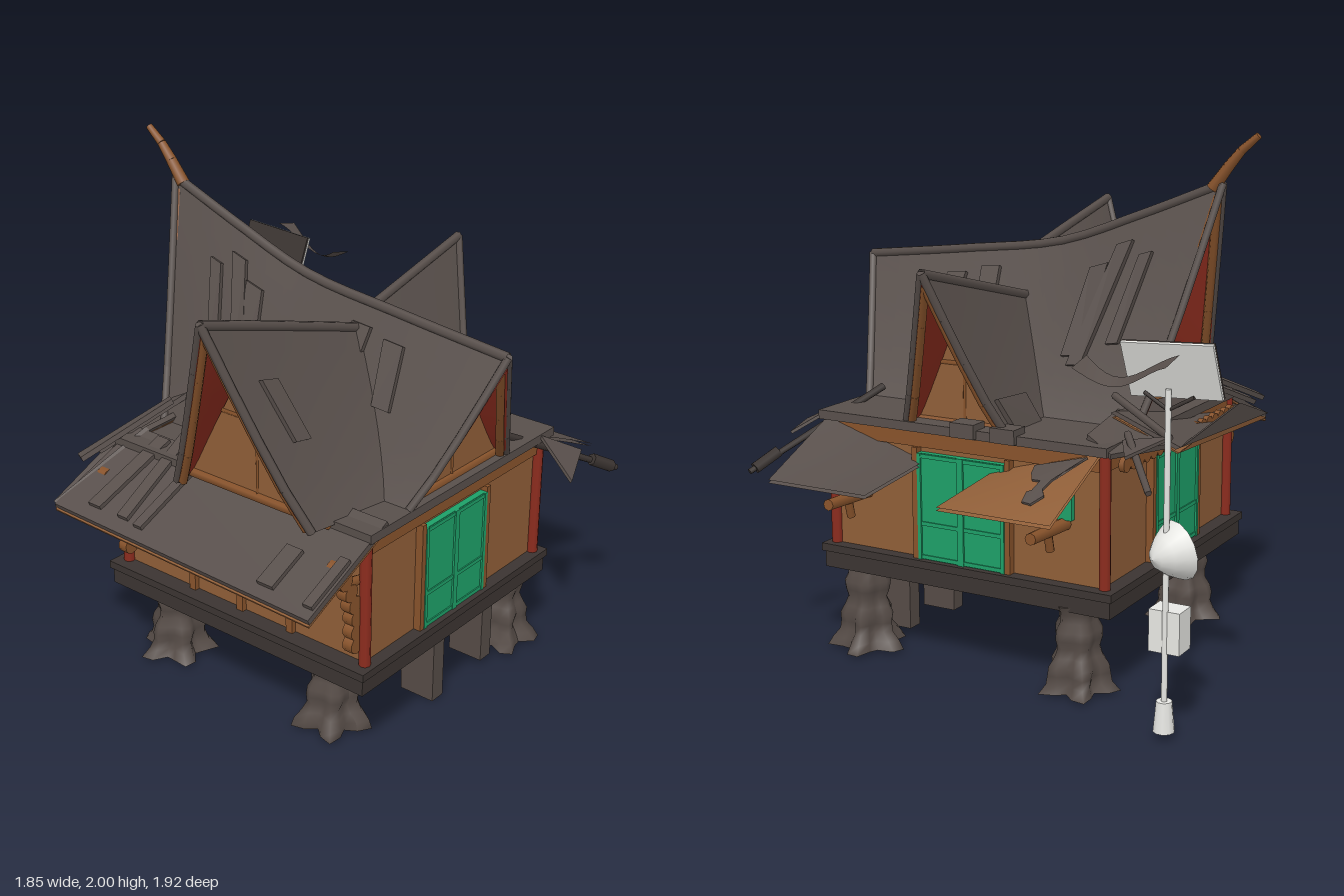
import * as THREE from 'three';

const paint = (name, color) => {
  const m = new THREE.MeshStandardMaterial({ color, side: THREE.DoubleSide });
  m.name = name;
  return m;
};

export function createModel() {
  const root = new THREE.Group();
  const roofGrey = paint('roof grey', 0x584f4b), stump = paint('stump grey', 0x554b46);
  const dark = paint('dark timber', 0x3b3431), wood = paint('wall wood', 0x8f5e38);
  const trim = paint('trim wood', 0x88532b), red = paint('red', 0x8c2c1e);
  const green = paint('green', 0x1da068), metal = paint('light metal', 0xeaeae6);
  const V = (a) => new THREE.Vector3(...a);

  const add = (name, geo, mat, pos = [0, 0, 0], rot = [0, 0, 0]) => {
    const m = new THREE.Mesh(geo, mat);
    m.name = name;
    m.position.set(...pos);
    m.rotation.set(...rot);
    root.add(m);
    return m;
  };
  // box given by its lower and upper corner
  const box = (name, mat, a, b) => add(name,
    new THREE.BoxGeometry(b[0] - a[0], b[1] - a[1], b[2] - a[2]), mat, a.map((v, i) => (v + b[i]) / 2));
  // round bar between two points
  const bar = (name, mat, a, b, r0, r1 = r0, sides = 8) => {
    const d = V(b).sub(V(a));
    const m = add(name, new THREE.CylinderGeometry(r1, r0, d.length(), sides), mat,
      V(a).addScaledVector(d, 0.5).toArray());
    m.quaternion.setFromUnitVectors(new THREE.Vector3(0, 1, 0), d.normalize());
    return m;
  };
  // flat convex board through the given corners, centred on them
  const plate = (name, mat, corners, th = 0.02) => {
    const p = corners.map(V), n = p.length, pos = [];
    const nor = p[1].clone().sub(p[0]).cross(p[2].clone().sub(p[0])).normalize().multiplyScalar(th / 2);
    const up = p.map((v) => v.clone().add(nor)), lo = p.map((v) => v.clone().sub(nor));
    const tri = (...t) => t.forEach((v) => pos.push(v.x, v.y, v.z));
    for (let i = 1; i < n - 1; i++) { tri(up[0], up[i], up[i + 1]); tri(lo[0], lo[i + 1], lo[i]); }
    for (let i = 0; i < n; i++) {
      const j = (i + 1) % n;
      tri(lo[i], lo[j], up[j]); tri(lo[i], up[j], up[i]);
    }
    const g = new THREE.BufferGeometry();
    g.setAttribute('position', new THREE.Float32BufferAttribute(pos, 3));
    g.computeVertexNormals();
    return add(name, g, mat);
  };
  // smooth sheet from a rule f(u, v) -> Vector3
  const sheet = (name, mat, f, nu = 14, nv = 8) => {
    const g = new THREE.PlaneGeometry(1, 1, nu, nv), p = g.attributes.position, uv = g.attributes.uv;
    for (let i = 0; i < p.count; i++) p.setXYZ(i, ...f(uv.getX(i), uv.getY(i)).toArray());
    g.computeVertexNormals();
    return add(name, g, mat);
  };

  // Platform, walls, corner posts
  box('platform', dark, [-0.63, 0.325, -0.49], [0.53, 0.4, 0.75]);
  box('platformRim', dark, [-0.64, 0.39, -0.5], [0.54, 0.42, 0.76]);
  box('walls', wood, [-0.57, 0.41, -0.44], [0.49, 0.93, 0.71]);
  for (const x of [-0.58, 0.49]) for (const z of [-0.45, 0.72]) {
    bar('cornerPost', red, [x, 0.41, z], [x, 0.92, z], 0.022);
  }
  for (const z of [-0.448, 0.718]) box('wallHeader', trim, [-0.57, 0.85, z - 0.008], [0.49, 0.93, z + 0.008]);
  for (const x of [-0.578, 0.498]) box('wallHeader', trim, [x - 0.008, 0.85, -0.44], [x + 0.008, 0.93, 0.71]);
  for (const z of [-0.1, 0.14, 0.38]) box('wallBatten', trim, [-0.59, 0.41, z - 0.015], [-0.57, 0.86, z + 0.015]);

  // Green double doors with glazing rails and side boards
  const door = (pos, turn) => {
    const g = new THREE.Group();
    g.name = 'door';
    const part = (name, mat, w, h, d, x, y, z) => {
      const m = new THREE.Mesh(new THREE.BoxGeometry(w, h, d), mat);
      m.name = name;
      m.position.set(x, y, z);
      g.add(m);
    };
    part('doorLeaf', green, 0.37, 0.41, 0.03, 0, 0.205, 0);
    for (const x of [-0.18, -0.005, 0.005, 0.18]) part('doorStile', green, 0.015, 0.41, 0.045, x, 0.205, 0);
    for (const y of [0.01, 0.14, 0.4]) part('doorRail', green, 0.37, 0.015, 0.04, 0, y, 0);
    for (const x of [-0.2, 0.2]) part('doorJamb', trim, 0.022, 0.43, 0.04, x, 0.215, 0);
    g.position.set(...pos);
    g.rotation.y = turn;
    root.add(g);
  };
  door([-0.07, 0.42, 0.72], 0);
  door([-0.07, 0.42, -0.45], Math.PI);
  door([0.5, 0.42, 0.135], Math.PI / 2);

  // Root-footed stump legs and plain posts
  [[-0.45, 0.47], [0.45, 0.61], [-0.45, -0.33], [0.45, -0.32]].forEach(([x, z], k) => {
    const g = new THREE.CylinderGeometry(1, 1, 0.33, 20, 10), p = g.attributes.position;
    for (let i = 0; i < p.count; i++) {
      const h = p.getY(i) / 0.33 + 0.5, a = Math.atan2(p.getZ(i), p.getX(i));
      const s = Math.hypot(p.getX(i), p.getZ(i)), f = (1 - h) ** 3;
      const r = s * (0.076 + 0.045 * f + (0.008 + 0.03 * f) * Math.cos(5 * a + k + h * 2) + 0.01 * Math.sin(h * 17 + k));
      p.setXYZ(i, r * Math.cos(a), p.getY(i), r * Math.sin(a));
    }
    g.computeVertexNormals();
    add('stumpLeg', g, stump, [x, 0.175, z]);
  });
  for (const x of [-0.07, 0.25]) box('supportPost', stump, [x - 0.033, x < 0 ? 0 : 0.025, 0.53], [x + 0.033, 0.34, 0.68]);

  // Skirt roof, with wooden undersides
  box('eaveSlab', roofGrey, [-0.6, 0.915, -0.48], [0.54, 0.95, 0.755]);
  const leftSkirt = [[-0.92, 0.76, 0.75], [-0.5, 0.955, 0.75], [-0.5, 0.955, -0.46], [-0.9, 0.77, -0.49]];
  const backSkirt = [[-0.9, 0.78, -0.49], [-0.5, 0.97, -0.4], [0.3, 1.02, -0.38], [0.31, 0.92, -0.645], [-0.45, 0.92, -0.55]];
  for (const [name, q] of [['leftSkirt', leftSkirt], ['backSkirt', backSkirt]]) {
    plate(name, roofGrey, q, 0.022);
    plate(name + 'Underside', wood, q.map(([x, y, z]) => [x, y - 0.018, z]), 0.008);
  }
  plate('backSkirtEnd', roofGrey, [[0.2, 1.0, -0.35], [0.46, 0.96, -0.36], [0.53, 0.92, -0.49], [0.3, 0.92, -0.6]], 0.02);
  // sagging panels on the right: z at the high and the low end
  const panelPoint = (z0, z1, x, z, lift = 0) => {
    const inner = 0.935 - 0.14 * (z - z0) / (z1 - z0);
    return new THREE.Vector3(x, inner + (0.755 - inner) * (x - 0.47) / 0.4 + lift, z);
  };
  for (const [name, mat, z0, z1] of [['rightFrontSkirt', roofGrey, 0.74, 0.31], ['rightBackSkirt', wood, -0.44, 0.01]]) {
    for (const lift of [0, -0.012]) {
      sheet(name, mat, (u, v) => panelPoint(z0, z1, 0.47 + 0.4 * u, z0 + (z1 - z0) * v, lift), 6, 6);
    }
  }
  for (const q of [[[0.53, -0.4], [0.6, -0.34], [0.66, -0.32], [0.64, -0.24], [0.59, -0.21], [0.53, -0.19]],
    [[0.61, -0.33], [0.73, -0.315], [0.73, -0.28], [0.61, -0.28]],
    [[0.69, -0.31], [0.74, -0.345], [0.79, -0.32], [0.78, -0.28], [0.72, -0.265]]]) {
    plate('skirtPatch', roofGrey, q.map(([x, z]) => panelPoint(-0.44, 0.01, x, z, 0.007).toArray()), 0.008);
  }
  for (let i = 0; i < 18; i++) {
    bar('eaveScallop', trim, [-0.46 + i * 0.054, 0.88, -0.52], [-0.46 + i * 0.054, 0.88, -0.5], 0.03, 0.03, 10);
  }
  // Loose boards on the left skirt and back corner
  for (const [x0, z0, len, w, skew] of [[-0.86, -0.35, 0.34, 0.06, 0.03], [-0.87, -0.11, 0.36, 0.04, 0.01],
    [-0.86, -0.2, 0.38, 0.05, -0.04], [-0.88, 0.49, 0.16, 0.07, 0], [-0.89, 0.7, 0.2, 0.04, 0]]) {
    const y = (x) => 0.76 + (x + 0.92) * 0.46 + 0.02, x1 = x0 + len;
    plate('looseBoard', roofGrey, [[x0, y(x0), z0], [x1, y(x1), z0 + skew], [x1, y(x1), z0 + skew + w], [x0, y(x0), z0 + w]]);
  }
  for (const s of [0, 0.09]) {
    plate('cornerBoard', roofGrey, [[-0.75 + s, 0.9, -0.5], [-0.4 + s, 1.06, -0.36], [-0.37 + s, 1.05, -0.4], [-0.72 + s, 0.89, -0.55]]);
  }

  // Flared gables: ridge points outer to inner, eave line on each side,
  // ends as [edge, wall foot, wall apex, board] positions along the ridge
  const gable = (name, ridge, eaves, ends) => {
    const curve = new THREE.CatmullRomCurve3(ridge.map(V));
    const rule = (e, drop, inset) => (u, t) => {
      const r = curve.getPoint(u), q = V(e[0]).lerp(V(e[1]), u);
      r.y -= drop;
      q.lerp(new THREE.Vector3(r.x, q.y, r.z), inset);
      const y = q.y + (r.y - q.y) * (1 - t) ** 1.12;
      const p = r.clone().lerp(q, t);
      p.y = y;
      return p;
    };
    const outer = eaves.map((e) => rule(e, 0, 0)), inner = eaves.map((e) => rule(e, 0.04, 0.05));
    outer.forEach((f) => sheet(name + 'Slope', roofGrey, f));
    inner.forEach((f) => sheet(name + 'Lining', red, f));
    add(name + 'Ridge', new THREE.TubeGeometry(curve, 16, 0.018, 6), roofGrey);
    for (const [u, foot, apex, board] of ends) {
      // edge rolls and barge boards
      outer.forEach((f, s) => {
        for (let k = 0; k < 4; k++) {
          bar(name + 'Edge', roofGrey, f(u, k / 4).toArray(), f(u, (k + 1) / 4).toArray(), 0.016, 0.016, 6);
          const g = (t) => inner[s](board, t).lerp(inner[1 - s](board, t), 0.02).toArray();
          bar(name + 'BargeBoard', trim, g(k / 4), g((k + 1) / 4), 0.017, 0.017, 6);
        }
      });
      // upright wall set back under the overhang
      const [a, b] = inner.map((f) => f(foot, 1)), mid = a.clone().lerp(b, 0.5);
      const top = new THREE.Vector3(mid.x, inner[0](apex, 0).y - 0.02, mid.z);
      plate(name + 'Wall', wood, [a, b, top].map((v) => v.toArray()), 0.012);
      bar(name + 'Sill', trim, a.toArray(), b.toArray(), 0.022, 0.022, 6);
      bar(name + 'Stud', trim, mid.toArray(), mid.clone().lerp(top, 0.5).toArray(), 0.012, 0.012, 4);
      bar(name + 'Tie', trim, a.clone().lerp(top, 0.5).toArray(), b.clone().lerp(top, 0.5).toArray(), 0.014, 0.014, 4);
    }
    return outer;
  };
  const main = gable('mainGable', [[-0.07, 1.47, 0.92], [-0.07, 1.52, 0.45], [-0.07, 1.575, 0.03], [-0.07, 1.69, -0.3], [-0.07, 1.82, -0.63]],
    [[[-0.37, 0.95, 0.74], [-0.37, 0.95, -0.44]], [[0.23, 0.95, 0.74], [0.23, 0.95, -0.44]]],
    [[0, 0.04, 0.13, 0.015], [1, 0.91, 0.77, 0.985]]);
  const left = gable('leftGable', [[-0.87, 1.66, 0.25], [-0.48, 1.55, 0.28], [-0.07, 1.43, 0.31]],
    [[[-0.7, 0.94, 0.58], [-0.1, 0.94, 0.69]], [[-0.7, 0.94, -0.05], [-0.1, 0.94, -0.2]]], [[0, 0.16, 0.36, 0.025]]);
  const right = gable('rightGable', [[0.74, 1.54, 0.14], [0.36, 1.45, 0.145], [-0.02, 1.36, 0.15]],
    [[[0.51, 0.94, 0.37], [0.0, 0.94, 0.37]], [[0.51, 0.94, -0.06], [0.0, 0.94, -0.06]]], [[0, 0.15, 0.44, 0.025]]);

  // Patched planks lying on the slopes
  const patch = (f, u, t0, t1, w, lean = 0) => plate('roofPlank', roofGrey,
    [f(u, t0), f(u + w, t0), f(u + w + lean, t1), f(u + lean, t1)].map((v) => v.toArray()), 0.035);
  for (const f of main) {
    for (const [u, t0, t1, w, lean] of [[0.21, 0.15, 0.5, 0.05, -0.02], [0.3, 0.12, 0.6, 0.05, 0.03], [0.64, 0.2, 0.65, 0.06, 0.01],
      [0.71, 0.12, 0.7, 0.05, -0.03], [0.8, 0.2, 0.6, 0.04, -0.01]]) patch(f, u, t0, t1, w, lean);
  }
  patch(left[0], 0.18, 0.25, 0.55, 0.1, 0.02);
  for (const u of [0.15, 0.42]) patch(left[1], u, 0.2, 0.98, 0.06, 0.12);
  patch(right[1], 0.1, 0.75, 1, 0.35);
  for (const z of [0.05, -0.12]) box('eavePlank', roofGrey, [0.48, 0.92, z], [0.56, 0.975, z + 0.1]);

  // Curved horn at the back of the ridge
  const horn = [[-0.07, 1.8, -0.59], [-0.07, 1.88, -0.65], [-0.07, 1.94, -0.7], [-0.07, 1.995, -0.765]];
  for (let i = 0; i < 3; i++) bar('horn', trim, horn[i], horn[i + 1], 0.025 - i * 0.004, 0.021 - i * 0.004);

  // Carved brackets on the left, log ends and lanterns on the right
  for (const z of [0.69, -0.42]) {
    for (let i = 0; i < 7; i++) {
      const x = -0.61 - 0.012 * Math.max(0, i - 2) ** 1.5, y = 0.51 + i * 0.055;
      bar('carvedBracket', trim, [x, y, z - 0.02], [x, y, z + 0.02], 0.034, 0.034, 10);
    }
    bar('eaveBrace', trim, [-0.58, 0.75, z], [-0.76, 0.79, z], 0.018);
  }
  for (const z of [0.57, -0.29]) {
    bar('logEnd', trim, [0.48, 0.64, z], [0.74, 0.65, z], 0.025, 0.022);
    bar('logPeg', trim, [0.6, 0.57, z], [0.62, 0.65, z], 0.016);
    bar('eaveRod', trim, [0.48, 0.79, z], [0.78, 0.765, z], 0.012);
    bar('eaveBrace', trim, [0.49, 0.77, z], [0.58, 0.81, z], 0.014);
    box('lantern', green, [0.485, 0.66, z - 0.038], [0.515, 0.76, z + 0.038]);
  }

  // Broken sticks and shards at the right corners
  bar('brokenStick', dark, [0.26, 1.0, 0.65], [0.77, 0.74, 0.91], 0.016, 0.012, 6);
  bar('stickTip', dark, [0.66, 0.8, 0.86], [0.75, 0.75, 0.9], 0.024, 0.024, 6);
  plate('shard', roofGrey, [[0.45, 0.94, 0.75], [0.59, 0.86, 0.85], [0.35, 0.85, 0.955]], 0.012);
  plate('shard', roofGrey, [[0.4, 0.98, -0.66], [0.56, 0.93, -0.56], [0.42, 0.95, -0.48]], 0.012);
  bar('brokenStick', roofGrey, [0.25, 1.07, -0.36], [0.41, 0.98, -0.66], 0.014, 0.014, 6);
  bar('brokenStick', roofGrey, [0.42, 0.98, -0.5], [0.66, 0.85, -0.7], 0.014, 0.012, 6);

  // Mast with box, dish and tilted panel
  const mx = 0.685, mz = -0.78;
  bar('mastBase', metal, [mx, 0.03, mz], [mx, 0.14, mz], 0.038, 0.028, 10);
  bar('mast', metal, [mx, 0.1, mz], [mx, 1.22, mz], 0.011);
  box('meterBox', metal, [0.6, 0.31, -0.835], [0.69, 0.46, -0.72]);
  const bowl = (r, d) => new THREE.LatheGeometry([0, 0.35, 0.65, 0.88, 1].map((s) => new THREE.Vector2(r * s, d * s * s)), 14);
  const aim = [0, -0.5, Math.PI / 2 - 0.15];
  add('dish', bowl(0.105, 0.11), metal, [0.74, 0.65, -0.755], aim);
  add('dishInside', bowl(0.1, 0.092), dark, [0.727, 0.652, -0.762], aim);
  bar('dishHub', metal, [0.735, 0.65, -0.757], [0.64, 0.662, -0.81], 0.01);
  const tilt = [0.05, 0, -0.33];
  add('panelFace', new THREE.BoxGeometry(0.01, 0.2, 0.33), metal, [0.695, 1.285, -0.795], tilt);
  add('panelBack', new THREE.BoxGeometry(0.01, 0.2, 0.33), dark, [0.685, 1.288, -0.795], tilt);
  for (const s of [-1, 1]) bar('panelBrace', dark, [mx, 1.15, mz], [0.68, 1.2, mz + s * 0.09], 0.007, 0.007, 5);

  // Thin curled shingle hanging beside the panel
  sheet('curledShingle', roofGrey, (u, v) => {
    const w = 0.022 + 0.03 * (2 * u - 1) ** 2, s = (v - 0.5) * 2;
    return new THREE.Vector3(0.815 + 0.055 * u + s * w, 1.31 - 0.05 * Math.sin(u * 4.2) - s * 0.012, -0.52 - 0.36 * u);
  }, 12, 2);

  return root;
}
